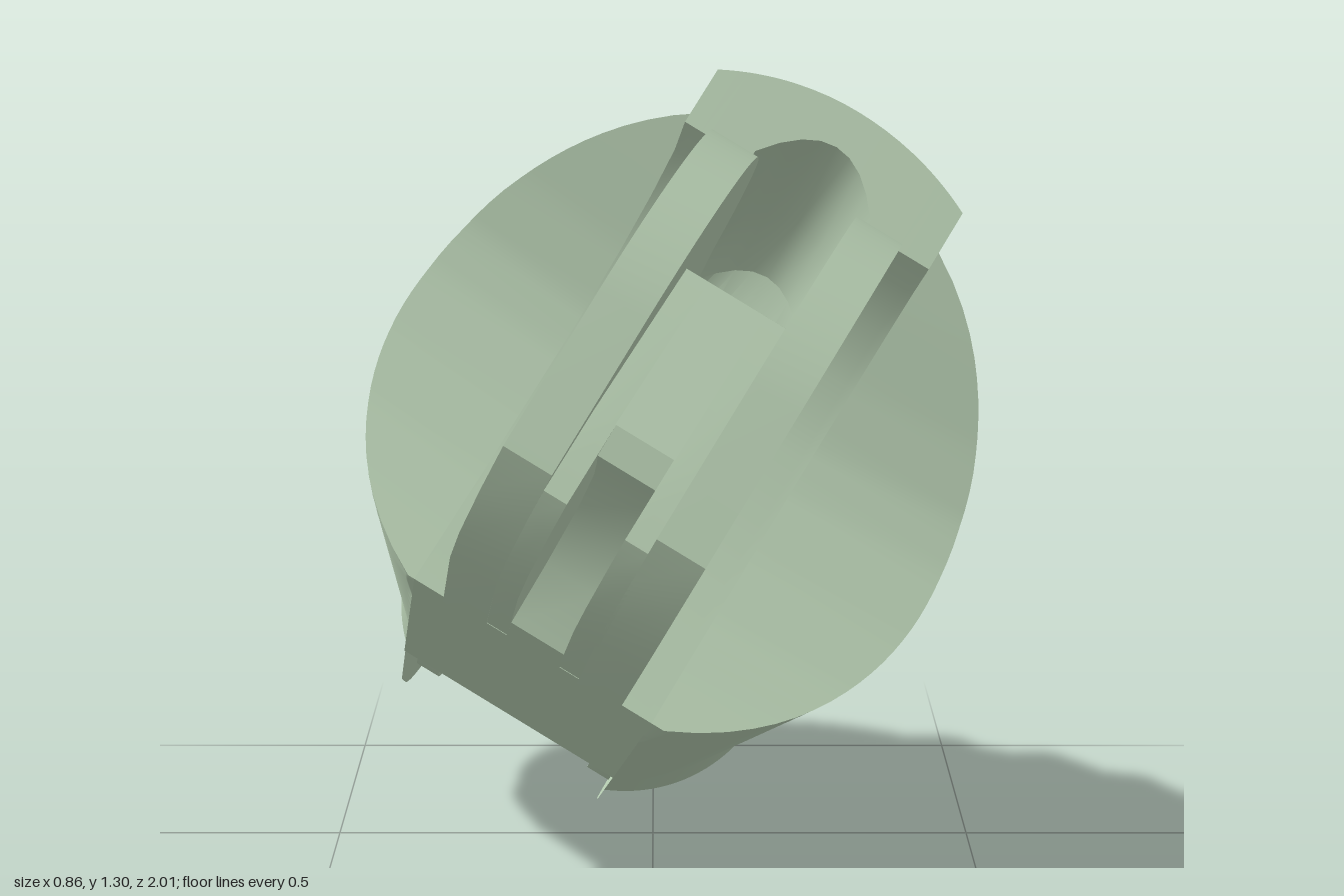
import * as THREE from 'three';
import { toCreasedNormals } from 'three/addons/utils/BufferGeometryUtils.js';

// Working frame: x across the joint pins, y towards the back of the knuckle, z along the link
const PIN = 0.705, CHEEK = 0.18, BOSS = 0.14, BORE = 0.065, TOP = 0.44;
const lerp = THREE.MathUtils.lerp;
const crease = g => toCreasedNormals(g, 0.6);

// Tapered oval body: half width at station z, then its surface as x(y) and as y(x)
const along01 = z => THREE.MathUtils.clamp((z + PIN) / 1.055, 0, 1);
const halfWidth = (z, side) => side > 0 ? lerp(0.345, 0.415, along01(z)) : lerp(0.315, 0.395, along01(z));
function ovalX(y, z, side) {
  const b = y > 0 ? TOP : lerp(0.325, 0.376, along01(z));
  return Math.max(CHEEK, halfWidth(z, side) * Math.sqrt(Math.max(0, 1 - (y / b) ** 2)));
}
const ovalY = (x, z, side) => TOP * Math.sqrt(1 - (x / halfWidth(z, side)) ** 2);

function arc(cz, cy, rz, ry, a0, a1, n) {
  return Array.from({ length: n + 1 }, (_, i) => {
    const a = a0 + (a1 - a0) * i / n;
    return [cz + rz * Math.cos(a), cy + ry * Math.sin(a)];
  });
}

// Extrude a [z, y] profile across x, centred at x = cx
function slab(points, width, cx, hole, steps = 1) {
  const shape = new THREE.Shape(points.map(p => new THREE.Vector2(...p)));
  if (hole) shape.holes.push(new THREE.Path().absarc(PIN, 0, BORE, 0, Math.PI * 2, true));
  const g = new THREE.ExtrudeGeometry(shape, { depth: width, steps, bevelEnabled: false, curveSegments: 24 });
  return g.translate(0, 0, -width / 2).rotateY(-Math.PI / 2).translate(cx, 0, 0);
}

// Side outline of a shell half, running round the rear pin
function shellOutline(side) {
  const corners = [
    [0.315, 0.05], [0.325, 0.12], [0.36, 0.21], [0.41, 0.31], [0.45, ovalY(CHEEK, 0.45, side)],
    [-0.45, ovalY(CHEEK, -0.45, side)], [-0.74, 0.352], [-0.755, 0.318],
    ...arc(-PIN, 0, 0.323, 0.31, 1.75, 4.6, 30),
    [-0.6, -0.325], [0.39, -0.33], [0.355, -0.24], [0.33, -0.15], [0.318, -0.05],
  ];
  const out = [];
  corners.forEach((p, i) => {
    const q = corners[(i + 1) % corners.length];
    const n = Math.ceil(Math.hypot(q[0] - p[0], q[1] - p[1]) / 0.025);
    for (let k = 0; k < n; k++) out.push([lerp(p[0], q[0], k / n), lerp(p[1], q[1], k / n)]);
  });
  return out;
}

// Shell half: loops of points joined from the outline, over the outside, through the pin hole and back
function shellGeometry(side, pocketRadius, pocketFloor) {
  const outline = shellOutline(side);
  const around = (radius, x) => outline.map(([z, y]) => {
    const a = Math.atan2(y, z + PIN), r = radius(a);
    const py = r * Math.sin(a), pz = -PIN + r * Math.cos(a);
    return [x ?? ovalX(py, pz, side), py, pz];
  });
  const bore = () => BORE, boss = () => 0.275;
  const inner = outline.map(([z, y]) => [CHEEK, y, z]);
  const rim = around(pocketRadius);
  const loops = [inner];
  const STEPS = 24;
  for (let k = 0; k <= STEPS; k++) {
    const t = (k / STEPS) ** 1.5;
    loops.push(outline.map(([z, y], j) => {
      const py = lerp(y, rim[j][1], t), pz = lerp(z, rim[j][2], t);
      return [ovalX(py, pz, side), py, pz];
    }));
  }
  loops.push(around(pocketRadius, pocketFloor), around(bore, pocketFloor), around(bore, BOSS),
    around(boss, BOSS), around(boss, CHEEK), inner);

  const n = outline.length, pos = [], index = [];
  loops.forEach(l => l.forEach(p => pos.push(p[0] * side, p[1], p[2])));
  for (let k = 0; k < loops.length - 1; k++) {
    for (let j = 0; j < n; j++) {
      const a = k * n + j, a2 = k * n + (j + 1) % n, b = a + n, b2 = a2 + n;
      if (side > 0) index.push(a, b, b2, a, b2, a2);
      else index.push(a, b2, b, a, a2, b2);
    }
  }
  const g = new THREE.BufferGeometry();
  g.setAttribute('position', new THREE.Float32BufferAttribute(pos, 3));
  g.setIndex(index);
  return crease(g);
}

// Strip of the core: its top is bent to the oval, and a hollow below it can be arched
function coreStrip(front, width, cx, arched) {
  const rear = [[0.45, TOP], [-0.45, TOP], [-0.39, 0.3], [-0.335, 0.15], [-0.305, 0], [-0.285, -0.18], [-0.26, -0.33]];
  const g = slab([...front, [0.64, TOP], ...rear], width, cx, false, 8);
  const p = g.attributes.position;
  for (let i = 0; i < p.count; i++) {
    const x = p.getX(i), y = p.getY(i), z = p.getZ(i);
    if (y > 0.43) p.setY(i, ovalY(x, z, Math.sign(x)));
    else if (arched && y > 0.305 && z > 0) p.setY(i, y - 0.06 * (2 * x / width) ** 2);
  }
  return crease(g);
}

export function createModel() {
  const green = new THREE.MeshStandardMaterial({ color: 0xb9d0b4 });
  green.name = 'pale green';
  const link = new THREE.Group();
  link.name = 'fingerLink';
  const add = (name, geometry) => {
    const mesh = new THREE.Mesh(geometry, green);
    mesh.name = name;
    link.add(mesh);
    return mesh;
  };

  // Outer shell halves with rear cheeks: hexagonal nut pocket on one, round pocket on the other
  const hex = a => {
    const s = Math.PI / 3, t = (((a + 0.38) % s) + s) % s - s / 2;
    return 0.117 / Math.cos(t);
  };
  add('leftShell', shellGeometry(1, hex, 0.25));
  add('rightShell', shellGeometry(-1, () => 0.115, 0.24));

  // Core with the rear slot floor, flat underside and top collar, hollowed in the middle
  const collarFront = [
    [0.39, -0.33], [0.36, -0.15], [0.355, 0.08], [0.39, 0.19], [0.45, 0.26], [0.53, 0.305], [0.64, 0.31],
  ];
  const hollowFront = [
    [0.39, -0.33], [0.36, -0.1], [0.34, 0.06], [0.22, 0.1], [0.19, 0.2], [0.22, 0.31], [0.32, 0.37], [0.64, 0.385],
  ];
  add('coreMiddle', coreStrip(hollowFront, 0.17, 0, true));
  for (const s of [1, -1]) {
    const side = s > 0 ? 'left' : 'right';
    add(side + 'CoreSide', coreStrip(collarFront, 0.095, s * 0.1325, false));

    // Stop shoulder on the inside of each rear cheek
    add(side + 'Shoulder', crease(slab([
      [-0.45, 0.13], [-0.55, 0.23], [-0.68, 0.28], [-0.755, 0.3], [-0.74, 0.352],
      [-0.45, ovalY(CHEEK, -0.45, s)], [-0.36, 0.2],
    ], 0.045, s * 0.1575)));
  }

  // Front tongue: two pierced plates
  const underside = [[0.72, -0.335], [0.82, -0.32], [0.91, -0.28]];
  const plate = [
    [0.2, -0.328], ...underside, [0.975, -0.235],
    ...arc(PIN, 0, 0.3, 0.285, -0.1, 2.25, 28), [0.42, 0.2], [0.2, 0.16],
  ];
  // Web between the plates, with a narrow tendon groove under its middle
  const webTop = [[0.95, -0.14], [0.85, 0.09], [0.74, 0.12], [0.55, 0.1], [0.32, 0.05]];
  const groove = [[0.5, -0.33], [0.54, -0.25], [0.62, -0.18], [0.74, -0.16], [0.86, -0.17], [0.94, -0.18]];
  add('tongueWebMiddle', crease(slab([[0.32, -0.33], ...groove, ...webTop], 0.08, 0, true)));
  for (const s of [1, -1]) {
    const side = s > 0 ? 'left' : 'right';
    add(side + 'TonguePlate', crease(slab(plate, 0.065, s * 0.1025, true)));
    add(side + 'TongueWeb', crease(slab([[0.32, -0.328], ...underside, [0.95, -0.25], ...webTop], 0.035, s * 0.0565, true)));
  }

  // Rims of the small cross holes near the front
  for (const s of [1, -1]) {
    const y = 0.27, z = 0.25, x = ovalX(y, z, s);
    const rim = add(s > 0 ? 'leftHoleRim' : 'rightHoleRim', new THREE.TorusGeometry(0.03, 0.005, 8, 24));
    rim.position.set(s * x, y, z);
    const normal = new THREE.Vector3(s * x / halfWidth(z, s) ** 2, y / TOP ** 2, 0).normalize();
    rim.quaternion.setFromUnitVectors(new THREE.Vector3(0, 0, 1), normal);
  }

  // Tilt the link into its resting pose
  const along = new THREE.Vector3(0.089, 0.387, 0.916).normalize();
  const up = along.clone().cross(new THREE.Vector3(0.855, -0.503, 0.131)).normalize();
  const across = up.clone().cross(along);
  link.quaternion.setFromRotationMatrix(new THREE.Matrix4().makeBasis(across, up, along));
  link.position.set(-0.02, 0.642, 0);

  const model = new THREE.Group();
  model.name = 'jointedLink';
  model.add(link);
  return model;
}
